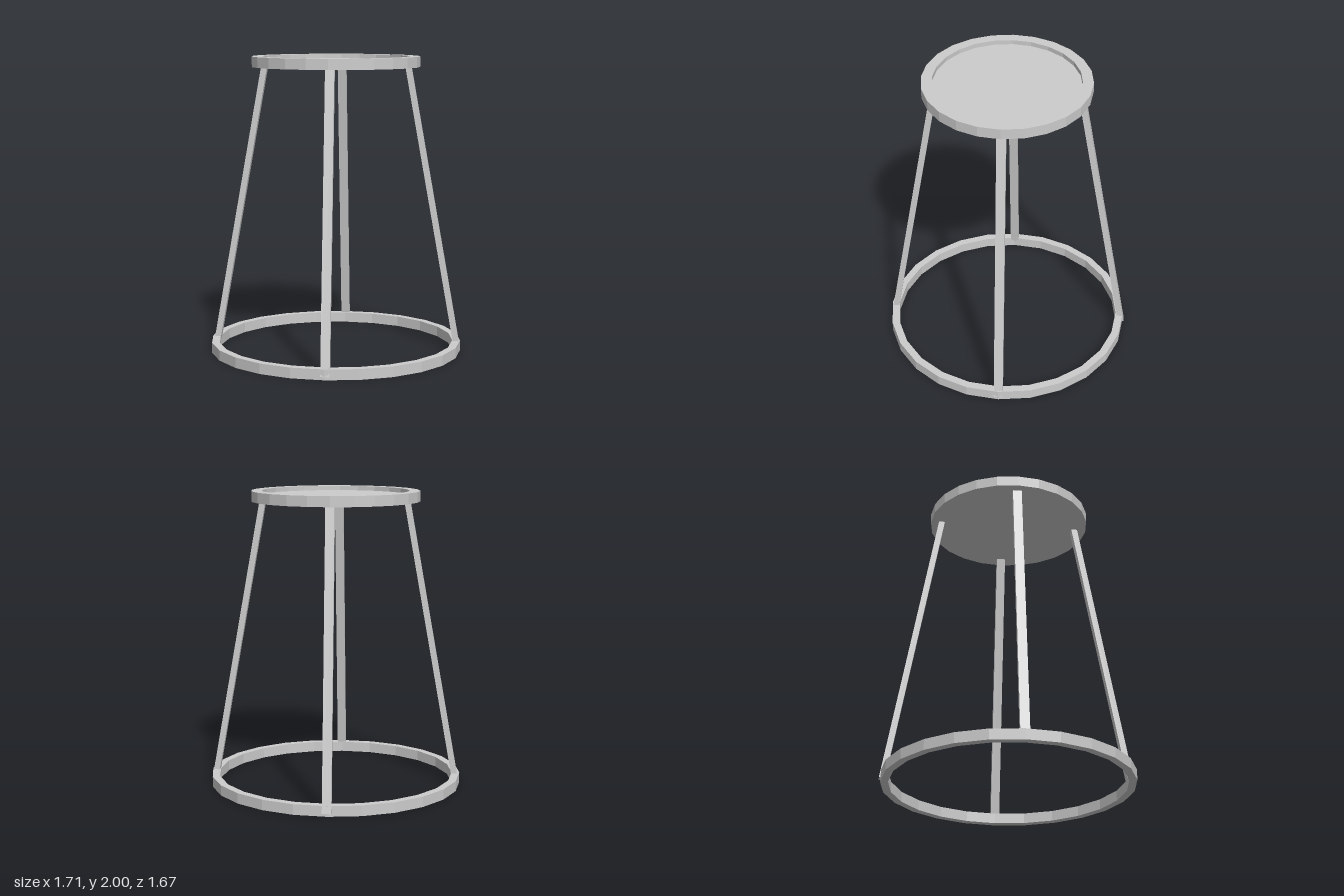
import * as THREE from 'three';

const SIDES = 24;
const DEPTH = 0.975; // rings are very slightly narrower front to back

const material = new THREE.MeshStandardMaterial({ color: 0xcccccc, flatShading: true });

// Faceted solid of revolution from [radius, y] pairs
function turned(name, profile) {
  const points = profile.map(([r, y]) => new THREE.Vector2(r, y));
  const geometry = new THREE.LatheGeometry(points, SIDES);
  geometry.scale(1, 1, DEPTH);
  const mesh = new THREE.Mesh(geometry, material);
  mesh.name = name;
  return mesh;
}

// Straight bar leaning from a bottom centre to a top centre, ends kept level
function leaningLeg(name, width, depth, bottom, top) {
  const height = top.y - bottom.y;
  const geometry = new THREE.BoxGeometry(width, height, depth);
  const position = geometry.attributes.position;
  const centre = new THREE.Vector3();
  for (let i = 0; i < position.count; i++) {
    centre.lerpVectors(bottom, top, position.getY(i) / height + 0.5);
    position.setXYZ(i, position.getX(i) + centre.x, centre.y, position.getZ(i) + centre.z);
  }
  geometry.computeVertexNormals();
  const mesh = new THREE.Mesh(geometry, material);
  mesh.name = name;
  return mesh;
}

export function createModel() {
  const model = new THREE.Group();
  model.name = 'stool';

  // Round seat with a raised rim around a shallow recess
  model.add(turned('seat', [
    [0, 1.93], [0.565, 1.93], [0.565, 2], [0.493, 2], [0.493, 1.97], [0, 1.97],
  ]));

  // Floor ring
  model.add(turned('baseRing', [
    [0.8, 0], [0.853, 0], [0.853, 0.07], [0.8, 0.07], [0.8, 0],
  ]));

  // Four splayed legs, one per side
  const legs = [
    ['leftLeg', 1, 0], ['rightLeg', -1, 0], ['frontLeg', 0, 1], ['backLeg', 0, -1],
  ];
  const thin = 0.041, wide = 0.06;
  for (const [name, sx, sz] of legs) {
    const at = (r, y) => new THREE.Vector3(
      sx * r + 0.004, y, sz * (r - 0.013) - (sz ? 0.004 : 0));
    model.add(leaningLeg(name, sx ? thin : wide, sx ? wide : thin, at(0.828, 0.02), at(0.482, 1.94)));
  }

  return model;
}
